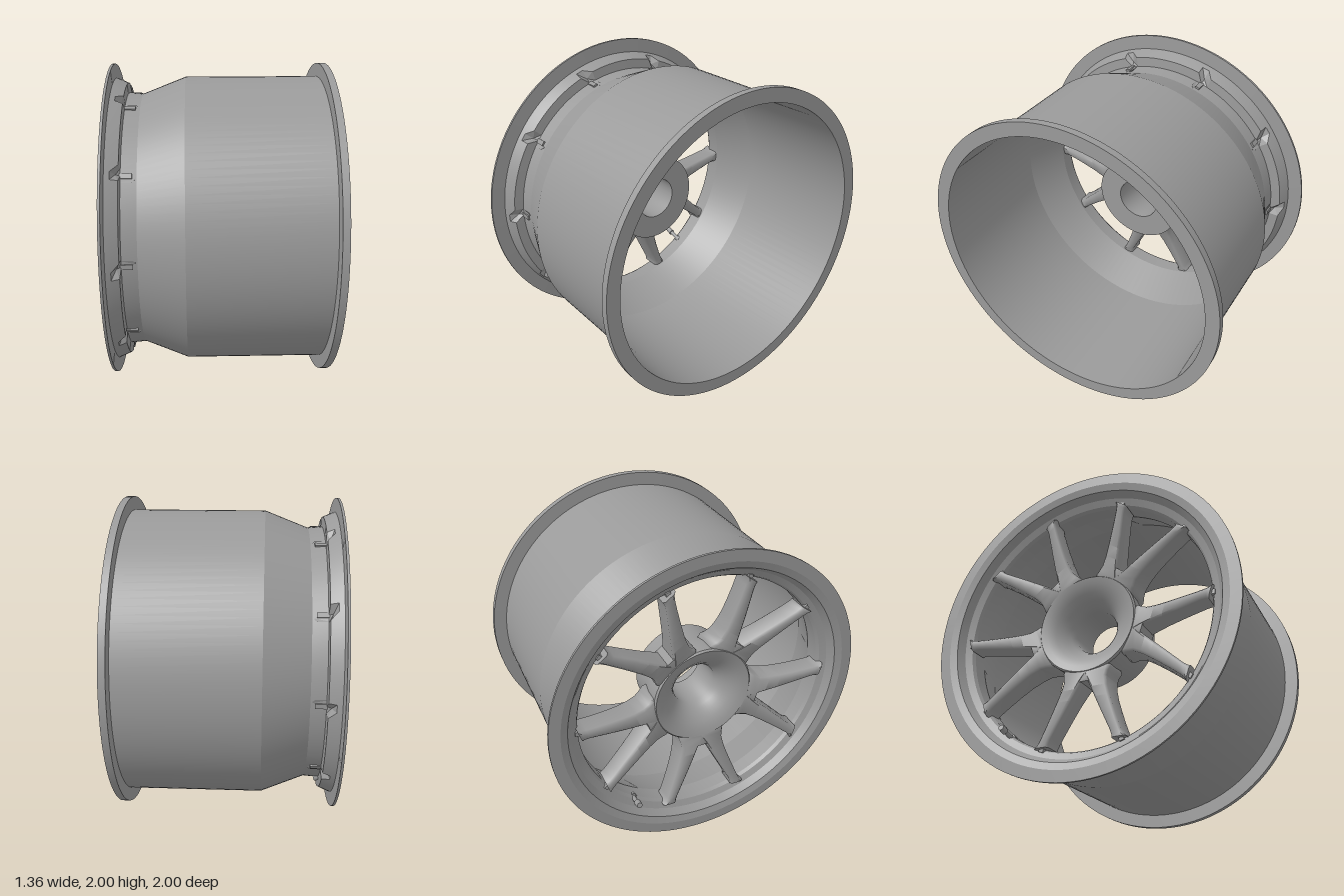
import * as THREE from 'three';
import { toCreasedNormals } from 'three/addons/utils/BufferGeometryUtils.js';

const DEG = Math.PI / 180;
const material = new THREE.MeshStandardMaterial({ color: 0x9a9a9a, side: THREE.DoubleSide });

function addMesh(parent, name, geometry) {
  const mesh = new THREE.Mesh(geometry, material);
  mesh.name = name;
  parent.add(mesh);
  return mesh;
}

// Revolve [radius, x] points about the x axis.
function revolve(profile, segments) {
  const points = profile.map(([r, x]) => new THREE.Vector2(r, x));
  return new THREE.LatheGeometry(points, segments).rotateZ(-Math.PI / 2);
}

// Loft chamfered sections; each station is [radial, sideways, width, frontX, backX].
function loft(stations, side = 1) {
  const positions = [], index = [], n = 8;
  for (const [a, b, w, front, back] of stations) {
    const h = w / 2, c = Math.min(w * 0.2, 0.014);
    const ring = [
      [h, front + c], [h, back - c], [h - c, back], [c - h, back],
      [-h, back - c], [-h, front + c], [c - h, front], [h - c, front],
    ];
    for (const [db, x] of ring) positions.push(x, a, side * b + db);
  }
  for (let i = 0; i < stations.length - 1; i++) {
    for (let j = 0; j < n; j++) {
      const p = i * n + j, q = i * n + (j + 1) % n;
      index.push(p, q, q + n, p, q + n, p + n);
    }
  }
  const last = (stations.length - 1) * n;
  for (let j = 1; j < n - 1; j++) {
    index.push(0, j + 1, j, last, last + j, last + j + 1);
  }
  const geometry = new THREE.BufferGeometry();
  geometry.setAttribute('position', new THREE.Float32BufferAttribute(positions, 3));
  geometry.setIndex(index);
  return toCreasedNormals(geometry, 50 * DEG);
}

export function createModel() {
  const model = new THREE.Group();
  model.name = 'wheelRim';
  const wheel = new THREE.Group();
  wheel.name = 'wheel';
  wheel.position.y = 1;
  model.add(wheel);

  // Barrel with both flanges, the drop well and the front lip
  const barrel = revolve([
    [0.93, -0.66], [1, -0.66], [1, -0.645], [0.912, -0.64], [0.9, -0.61], [0.88, -0.565],
    [0.82, -0.56], [0.812, -0.47], [0.917, -0.2], [0.917, 0.635], [1, 0.637], [1, 0.68],
    [0.912, 0.68], [0.908, -0.2], [0.803, -0.47], [0.803, -0.56], [0.815, -0.58],
    [0.855, -0.6], [0.885, -0.645], [0.93, -0.66],
  ], 120);
  // Notch the back of the lip behind every spoke end
  const pos = barrel.attributes.position;
  for (let i = 0; i < pos.count; i++) {
    const x = pos.getX(i), y = pos.getY(i), z = pos.getZ(i);
    const r = Math.hypot(y, z);
    const angle = (Math.atan2(z, y) / DEG + 360) % 36;
    if (Math.abs(angle - 18) < 1 && Math.abs(x + 0.565) < 0.003 && r > 0.85) {
      pos.setXYZ(i, x - 0.02, y * 0.845 / r, z * 0.845 / r);
    }
  }
  addMesh(wheel, 'barrel', toCreasedNormals(barrel, 15 * DEG));

  // Dished hub with a centre bore
  const hub = revolve([
    [0.14, -0.42], [0.16, -0.455], [0.19, -0.49], [0.23, -0.525], [0.275, -0.55], [0.315, -0.562],
    [0.325, -0.55], [0.322, -0.45], [0.31, -0.39], [0.295, -0.34], [0.295, -0.2], [0.14, -0.2],
    [0.14, -0.42],
  ], 64);
  addMesh(wheel, 'hub', toCreasedNormals(hub, 35 * DEG));

  // Five pairs of spokes, each joined by a web at the root
  const spokeStations = [
    [0.25, 0.04, 0.2, -0.53, -0.36], [0.3, 0.06, 0.19, -0.554, -0.37],
    [0.33, 0.068, 0.155, -0.563, -0.385], [0.37, 0.077, 0.125, -0.572, -0.4],
    [0.43, 0.098, 0.106, -0.582, -0.42], [0.5, 0.126, 0.094, -0.592, -0.44],
    [0.58, 0.16, 0.083, -0.602, -0.455], [0.66, 0.195, 0.073, -0.611, -0.467],
    [0.72, 0.222, 0.067, -0.617, -0.475], [0.75, 0.235, 0.072, -0.62, -0.48],
    [0.768, 0.245, 0.092, -0.62, -0.482],
  ];
  const webStations = [
    [0.25, 0, 0.2, -0.53, -0.36], [0.33, 0, 0.16, -0.562, -0.385],
    [0.385, 0, 0.11, -0.572, -0.405],
  ];
  for (let k = 0; k < 5; k++) {
    const pair = new THREE.Group();
    pair.name = 'spokePair';
    pair.rotation.x = (36 + 72 * k) * DEG;
    wheel.add(pair);
    for (const side of [-1, 1]) {
      addMesh(pair, 'spoke', loft(spokeStations, side));
      // Short rib where the spoke end passes through the drop well
      const rib = addMesh(pair, 'spokeEndRib', new THREE.BoxGeometry(0.1, 0.045, 0.03));
      rib.rotation.x = side * 18 * DEG;
      rib.position.set(-0.545, 0.803 * Math.cos(18 * DEG), side * 0.803 * Math.sin(18 * DEG));
    }
    addMesh(pair, 'spokeWeb', loft(webStations));
  }

  // Valve stem, leaning out through the front face
  const valve = new THREE.Group();
  valve.name = 'valve';
  valve.position.set(-0.595, -0.65, -0.48);
  valve.rotation.z = 75 * DEG;
  wheel.add(valve);
  addMesh(valve, 'valveStem', new THREE.CylinderGeometry(0.014, 0.014, 0.13, 12));
  addMesh(valve, 'valveCap', new THREE.CylinderGeometry(0.018, 0.021, 0.045, 12)).position.y = 0.06;
  addMesh(valve, 'valveNut', new THREE.CylinderGeometry(0.026, 0.026, 0.03, 6)).position.y = -0.05;

  return model;
}
